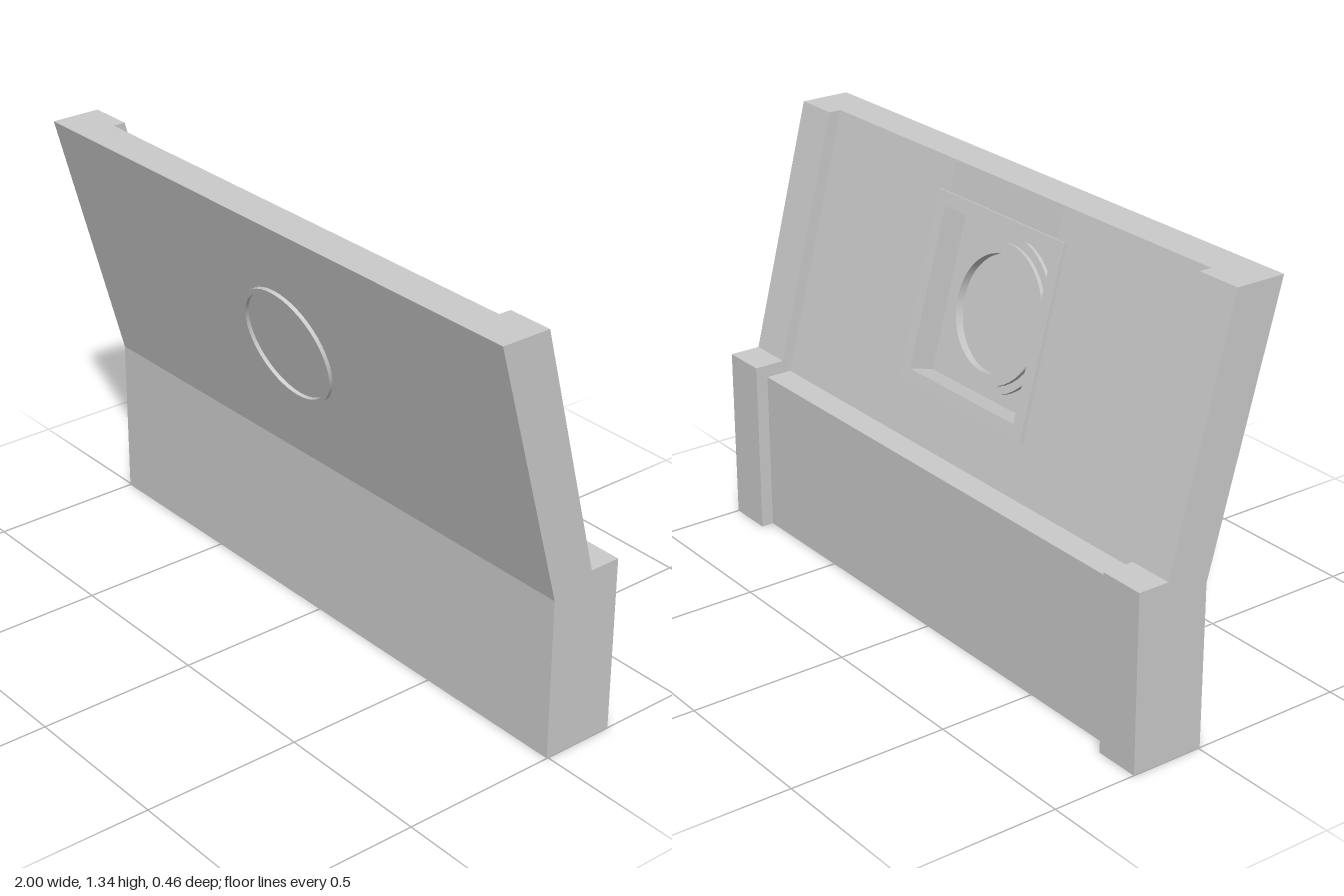
import * as THREE from 'three';
import { toCreasedNormals } from 'three/addons/utils/BufferGeometryUtils.js';

const material = new THREE.MeshStandardMaterial({ color: 0xcccccc });

// Lean of the upper panel and the centre of the round port on its front face
const LEAN = Math.atan(0.273);
const PORT = { z: 0.12, y: 0.928 };
const OPENING = 0.25; // half width of the square pocket
const BACK = 0.1115; // panel thickness at the pocket

// Point on the leaning panel: s along the slope, d inward from the front face
function panelPoint(s, d) {
  const c = Math.cos(LEAN), n = Math.sin(LEAN);
  return [PORT.z + n * s - c * d, PORT.y + c * s + n * d];
}

function addMesh(parent, name, geometry) {
  const mesh = new THREE.Mesh(geometry, material);
  mesh.name = name;
  parent.add(mesh);
  return mesh;
}

// Extrudes a (z, y) side profile from x0 to x1
function slab(profile, x0, x1) {
  const shape = new THREE.Shape(profile.map(([z, y]) => new THREE.Vector2(z, y)));
  const geometry = new THREE.ExtrudeGeometry(shape, { depth: x1 - x0, bevelEnabled: false });
  return geometry.rotateY(-Math.PI / 2).translate(x1, 0, 0);
}

function square(PathType, h) {
  return new PathType([[-h, -h], [h, -h], [h, h], [-h, h]].map(([x, y]) => new THREE.Vector2(x, y)));
}

export function createModel() {
  const model = new THREE.Group();
  model.name = 'leaningPanel';

  const front = [[-0.19, 0], [0.005, 0], [0.005, 0.51], [0.23, 1.335]];
  const panelTop = [0.11, 1.335];
  const ledge = [[-0.105, 0.515], [-0.19, 0.515]];
  const pocket = [
    panelPoint(OPENING, BACK), panelPoint(OPENING, 0.04),
    panelPoint(-OPENING, 0.04), panelPoint(-OPENING, BACK),
  ];
  const endProfile = [
    [-0.23, 0], ...front.slice(1), [0.07, 1.335], [-0.13, 0.555], [-0.23, 0.555],
  ];

  // Middle of the wall, notched by the pocket at the back
  addMesh(model, 'pocketWall', slab([...front, panelTop, ...pocket, ...ledge], -OPENING, OPENING));

  // Plain wall and thicker end post on each side
  for (const [side, sign] of [['left', 1], ['right', -1]]) {
    const span = (a, b) => (sign > 0 ? [a, b] : [-b, -a]);
    addMesh(model, side + 'Wall', slab([...front, panelTop, ...ledge], ...span(OPENING, 0.855)));
    addMesh(model, side + 'EndPost', slab(endProfile, ...span(0.855, 1)));
  }

  // Parts set square to the leaning panel
  const port = new THREE.Group();
  port.name = 'port';
  port.position.set(0, PORT.y, PORT.z);
  port.rotation.x = LEAN;
  model.add(port);

  // Raised rim around the pocket
  const rim = square(THREE.Shape, 0.293);
  rim.holes.push(square(THREE.Path, OPENING));
  addMesh(port, 'pocketRim', new THREE.ExtrudeGeometry(rim, { depth: 0.03, bevelEnabled: false }))
    .position.z = -BACK - 0.013;

  // Stepped ring through the panel: flange at the back, thin lip at the front
  const ringProfile = [
    [0.175, -0.066], [0.21, -0.066], [0.21, -0.053], [0.235, -0.053], [0.235, -0.035],
    [0.19, -0.035], [0.19, 0.011], [0.175, 0.011], [0.175, -0.066],
  ].map(([r, z]) => new THREE.Vector2(r, z));
  const ring = new THREE.LatheGeometry(ringProfile, 48).rotateX(Math.PI / 2);
  addMesh(port, 'portRing', toCreasedNormals(ring, 0.5));

  return model;
}
